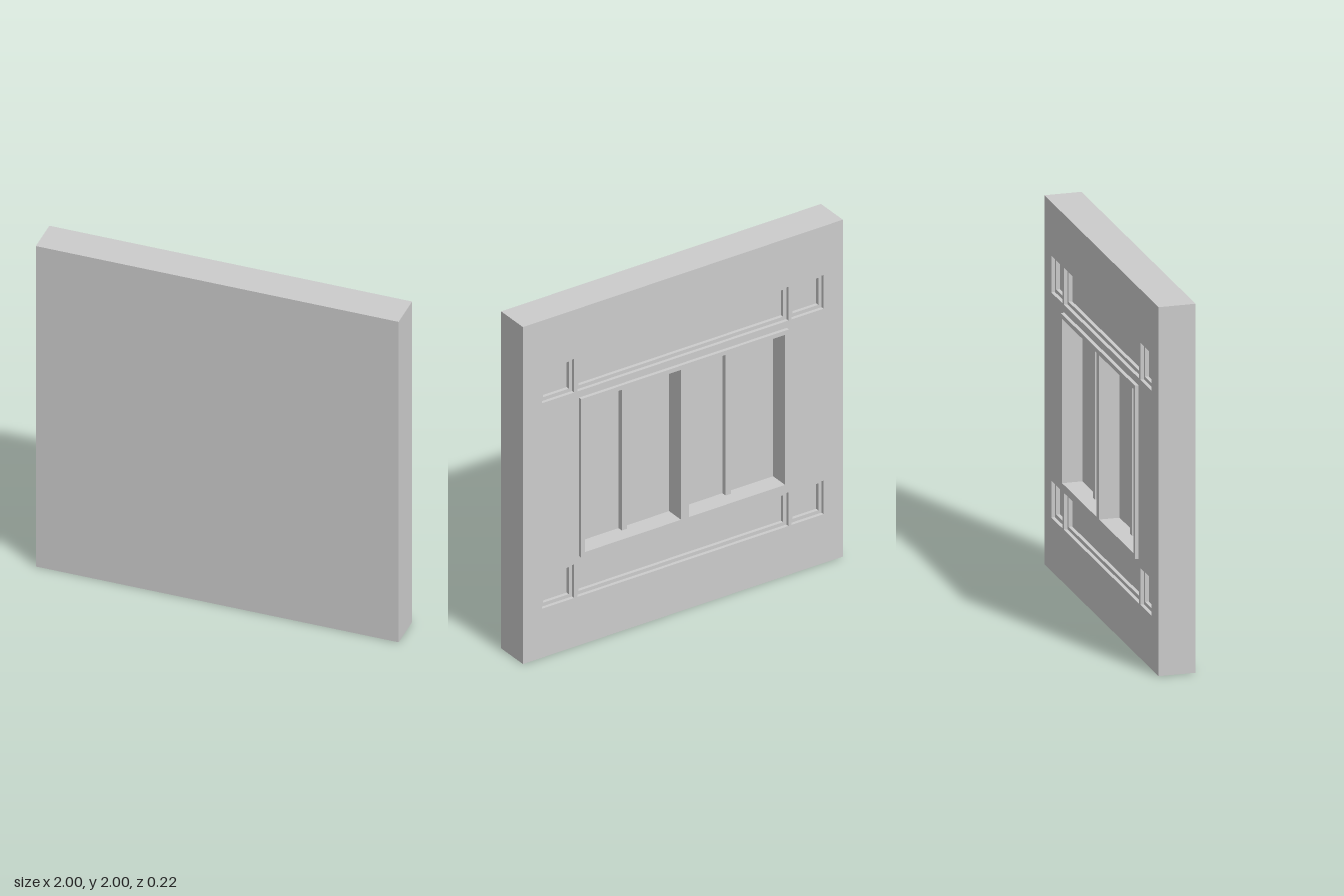
import * as THREE from 'three';

const mat = new THREE.MeshStandardMaterial({ color: 0xcccccc, flatShading: true });

// Rectangles are [x0, y0, x1, y1]
function trace(path, [x0, y0, x1, y1]) {
  path.moveTo(x0, y0);
  path.lineTo(x1, y0);
  path.lineTo(x1, y1);
  path.lineTo(x0, y1);
  path.closePath();
  return path;
}

// Flat slab between two depths, pierced by rectangular holes
function layer(name, outer, holes, z0, z1) {
  const shape = trace(new THREE.Shape(), outer);
  shape.holes = holes.map((h) => trace(new THREE.Path(), h));
  const geo = new THREE.ExtrudeGeometry(shape, { depth: z1 - z0, bevelEnabled: false });
  geo.translate(0, 0, z0);
  const mesh = new THREE.Mesh(geo, mat);
  mesh.name = name;
  return mesh;
}

const inset = ([x0, y0, x1, y1], d) => [x0 + d, y0 + d, x1 - d, y1 - d];

export function createModel() {
  const group = new THREE.Group();
  group.name = 'windowWall';

  const wall = [-1, 0, 1, 2];
  const windows = [[-0.625, 0.555, -0.025, 1.445], [0.025, 0.555, 0.625, 1.445]];

  // Recessed panels above and below the window: a long one between two squares
  const panels = [];
  for (const y of [0.29, 1.51]) {
    panels.push([-0.88, y, -0.68, y + 0.2], [-0.66, y, 0.66, y + 0.2], [0.68, y, 0.88, y + 0.2]);
  }
  const innerPanels = panels.map((p) => inset(p, 0.02));

  // Wall built in layers, from the plain front to the stepped back
  group.add(layer('wallFront', wall, [], 0, 0.11));
  group.add(layer('wallCore', wall, windows, -0.05, 0));
  group.add(layer('innerPanelStep', wall, [...windows, ...innerPanels], -0.07, -0.05));
  group.add(layer('outerPanelStep', wall, [...windows, ...panels], -0.09, -0.07));

  // Raised frame with its centre post
  group.add(layer('windowFrame', [-0.65, 0.53, 0.65, 1.47], windows, -0.11, -0.09));

  // Slim upright bar in each window
  for (const side of [-1, 1]) {
    const bar = new THREE.Mesh(new THREE.BoxGeometry(0.033, 0.89, 0.03), mat);
    bar.position.set(side * 0.325, 1, -0.015);
    bar.name = side > 0 ? 'leftWindowBar' : 'rightWindowBar';
    group.add(bar);
  }
  return group;
}
